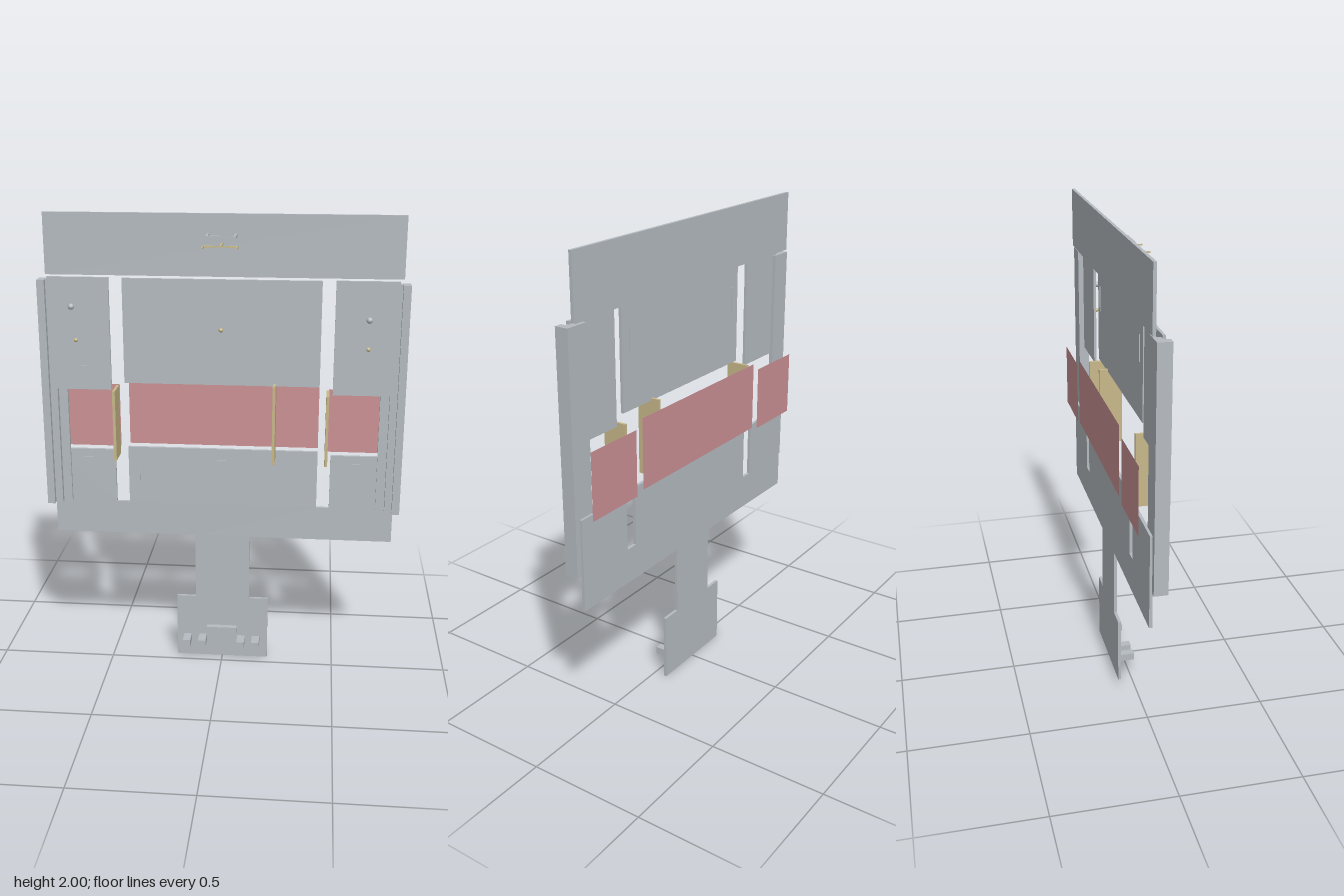
import * as THREE from 'three';

export function createModel() {
  const root = new THREE.Group();
  const mat = (name, color, side = THREE.FrontSide) => {
    const m = new THREE.MeshStandardMaterial({ color, side });
    m.name = name;
    return m;
  };
  const steel = mat('steel grey', 0xb4bbc0);
  const brass = mat('brass', 0xc8b98a);
  const pink = mat('pink sheet', 0xcc9195, THREE.DoubleSide);

  const add = (name, geo, material) => {
    const mesh = new THREE.Mesh(geo, material);
    mesh.name = name;
    root.add(mesh);
    return mesh;
  };
  // Box given by its limits on each axis
  const box = (name, x0, x1, y0, y1, z0, z1, material = steel) =>
    add(name, new THREE.BoxGeometry(x1 - x0, y1 - y0, z1 - z0), material)
      .position.set((x0 + x1) / 2, (y0 + y1) / 2, (z0 + z1) / 2);
  const extrude = (points, depth) => new THREE.ExtrudeGeometry(
    new THREE.Shape(points.map(([x, y]) => new THREE.Vector2(x, y))),
    { depth, bevelEnabled: false });

  // Lower plate: foot, neck and slotted body in one outline
  const back = -0.06, face = -0.047;
  add('lowerPlate', extrude([
    [-0.205, 0], [0.205, 0], [0.205, 0.295], [0.12, 0.295], [0.12, 0.595],
    [0.74, 0.595], [0.74, 0.985], [0.465, 0.985], [0.465, 0.745], [0.41, 0.745],
    [0.41, 1], [-0.41, 1], [-0.41, 0.745], [-0.467, 0.745], [-0.467, 0.985],
    [-0.74, 0.985], [-0.74, 0.595], [-0.12, 0.595], [-0.12, 0.295], [-0.205, 0.295],
  ], face - back), steel).position.z = back;

  // Upper plates
  box('topPlate', -0.74, 0.74, 1.745, 2, back, face);
  box('centrePanel', -0.41, 0.41, 1.3, 1.742, -0.01, 0.002);
  box('rightPanel', -0.725, -0.468, 1.265, 1.742, -0.02, -0.009);
  box('leftPanel', 0.465, 0.722, 1.265, 1.742, -0.02, -0.009);

  // Stepped side rails
  for (const s of [-1, 1]) {
    const steps = [[0.765, -0.05], [0.765, 0.007], [0.733, 0.007], [0.733, -0.014],
      [0.702, -0.014], [0.702, -0.035], [0.664, -0.035], [0.664, -0.05]];
    const rail = extrude(steps.map(([x, z]) => [s * x, -z]), 0.985);
    rail.rotateX(-Math.PI / 2);
    add(s > 0 ? 'leftRail' : 'rightRail', rail, steel).position.y = 0.745;
  }

  // Thin sheets behind the gap
  for (const [name, x0, x1] of [['rightSheet', -0.73, -0.45], ['centreSheet', -0.41, 0.41], ['leftSheet', 0.45, 0.725]]) {
    add(name, new THREE.PlaneGeometry(x1 - x0, name === 'centreSheet' ? 0.3 : 0.28), pink)
      .position.set((x0 + x1) / 2, name === 'centreSheet' ? 1.15 : 1.125, -0.102);
  }

  // Upright brass dividers
  for (const [x, top] of [[-0.449, 1.275], [0.223, 1.31], [0.445, 1.275]]) {
    box('divider', x - 0.006, x + 0.006, 0.97, top, -0.048, 0.054, brass);
  }

  // Round pins in front of the panels
  for (const [x, y, r, m] of [[-0.62, 1.625, 0.013, steel], [0.603, 1.59, 0.013, steel],
    [-0.605, 1.485, 0.009, brass], [0.603, 1.47, 0.009, brass], [0, 1.538, 0.009, brass]]) {
    add('pin', new THREE.SphereGeometry(r, 16, 12), m).position.set(x, y, 0.022);
  }

  // Foot pegs and bar
  for (const x of [-0.157, -0.088, 0.086, 0.153]) {
    box('footPeg', x - 0.017, x + 0.017, 0.073, 0.105, face, 0.02);
  }
  box('footBar', -0.068, 0.066, 0.13, 0.154, face, -0.022);

  // Grey frame on the top plate
  box('frameFront', -0.062, 0.062, 1.912, 1.922, 0.033, 0.043);
  for (const x of [-0.057, 0.057]) box('frameSide', x - 0.005, x + 0.005, 1.912, 1.922, face, 0.033);

  // Brass fork below the frame
  box('forkStem', -0.004, 0.004, 1.877, 1.883, face, 0.04, brass);
  box('forkCross', -0.071, 0.071, 1.877, 1.883, 0.038, 0.046, brass);
  for (const x of [-0.068, 0.068]) box('forkProng', x - 0.003, x + 0.003, 1.877, 1.883, 0.046, 0.102, brass);

  // Small ribs on the plates
  for (const x of [-0.585, 0, 0.585]) {
    const front = x === 0 ? 0.002 : -0.009;
    box('lowerRib', x - 0.026, x + 0.026, 0.948, 0.951, face, face + 0.004);
    box('upperRib', x - 0.015, x + 0.015, 1.365, 1.368, front, front + 0.004);
  }
  for (const x of [-0.363, 0.363]) {
    box('lowerUprightRib', x - 0.002, x + 0.002, 0.8, 0.9, face, face + 0.004);
    box('upperUprightRib', x - 0.002, x + 0.002, 1.53, 1.64, -0.014, -0.01);
  }
  return root;
}
